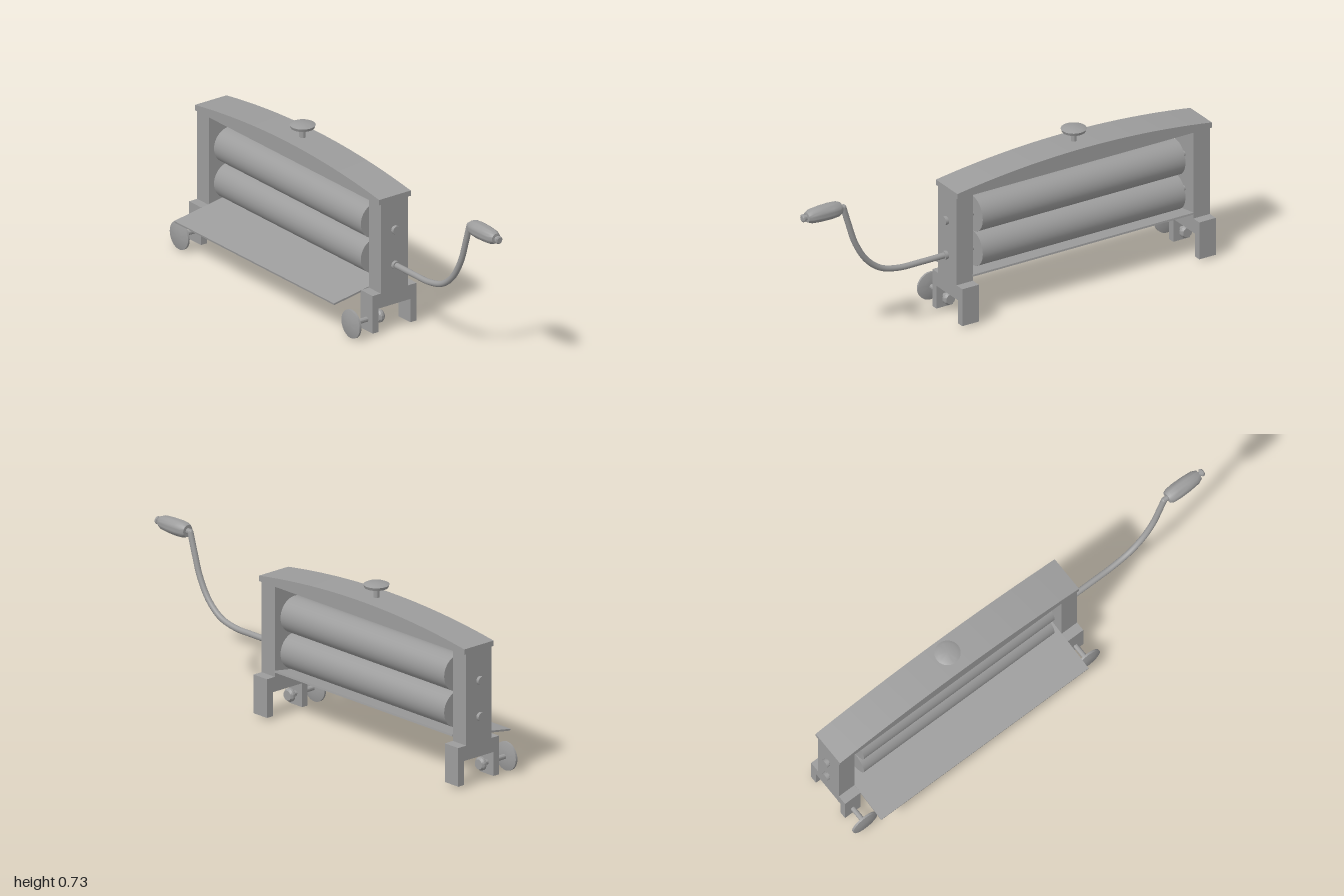
import * as THREE from 'three';
import { toCreasedNormals } from 'three/addons/utils/BufferGeometryUtils.js';

const castMetal = new THREE.MeshStandardMaterial({ color: 0x9c9c9c });
castMetal.name = 'castMetal';

const CX = -0.351; // middle of the frame
const CZ = -0.068; // roller axis depth
const POSTS = [-0.94, 0.237];

export function createModel() {
  const model = new THREE.Group();
  model.name = 'rollerMangle';

  function add(name, geometry, x = 0, y = 0, z = 0, parent = model) {
    const mesh = new THREE.Mesh(geometry, castMetal);
    mesh.name = name;
    mesh.position.set(x, y, z);
    parent.add(mesh);
    return mesh;
  }
  // Turned part: [radius, height] points from bottom to top, axis along y
  const turned = (points, sides = 32) => toCreasedNormals(
    new THREE.LatheGeometry(points.map(([r, h]) => new THREE.Vector2(r, h)), sides), 0.5);
  const rodX = (r, x0, x1) => new THREE.CylinderGeometry(r, r, x1 - x0, 24)
    .rotateZ(-Math.PI / 2).translate((x0 + x1) / 2, 0, 0);

  // Side posts, each with a forked foot that straddles a tub rim
  const foot = new THREE.Shape([
    [0.046, 0.012], [0.046, 0.183], [-0.185, 0.183], [-0.185, 0.012],
    [-0.152, 0.012], [-0.152, 0.118], [0.015, 0.118], [0.015, 0.012],
  ].map(([z, y]) => new THREE.Vector2(-z, y)));
  for (const x of POSTS) {
    const end = new THREE.Group();
    end.name = x < 0 ? 'rightEnd' : 'leftEnd';
    end.position.x = x;
    model.add(end);
    add('post', new THREE.BoxGeometry(0.082, 0.42, 0.143), 0, 0.388, CZ, end);
    add('forkedFoot', new THREE.ExtrudeGeometry(foot, { depth: 0.082, bevelEnabled: false })
      .translate(0, 0, -0.041).rotateY(Math.PI / 2), 0, 0, 0, end);
    // Clamp screw with hand disc and pressing pad
    add('clampScrew', turned([
      [0, -0.033], [0.022, -0.033], [0.029, -0.023], [0.029, -0.013], [0.022, -0.006],
      [0.011, -0.006], [0.011, 0.114], [0.034, 0.114], [0.063, 0.122],
      [0.063, 0.131], [0.034, 0.139], [0, 0.139],
    ]).rotateX(Math.PI / 2), 0, 0.064, 0, end);
  }

  // Arched top beam
  const arch = new THREE.Shape();
  arch.moveTo(-0.632, 0.588);
  arch.lineTo(0.632, 0.588);
  arch.lineTo(0.632, 0.612);
  arch.quadraticCurveTo(0, 0.709, -0.632, 0.612);
  arch.closePath();
  add('topBeam', toCreasedNormals(new THREE.ExtrudeGeometry(arch,
    { depth: 0.166, bevelEnabled: false, curveSegments: 24 }), 0.4), CX, 0, -0.152);

  // Pressure knob
  add('pressureKnob', turned([
    [0.012, 0.64], [0.012, 0.705], [0.05, 0.705], [0.055, 0.718], [0.04, 0.725], [0, 0.726],
  ]), CX, 0, CZ);

  // Rollers and axles with end caps
  for (const [name, y] of [['upper', 0.457], ['lower', 0.297]]) {
    add(name + 'Roller', new THREE.CylinderGeometry(0.08, 0.08, 1.007, 48)
      .rotateZ(Math.PI / 2), CX, y, CZ);
    add(name + 'Axle', rodX(0.012, -0.99, 0.285), 0, y, CZ);
    add(name + 'AxleCapRight', rodX(0.019, -1, -0.986), 0, y, CZ);
    add(name + 'AxleCapLeft', rodX(0.019, 0.281, 0.295), 0, y, CZ);
  }

  // Sloping drip tray
  const tray = add('dripTray', new THREE.BoxGeometry(1.096, 0.008, 0.333), CX, 0.181, 0.022);
  tray.rotation.x = 0.158;

  // Bent crank arm
  const path = new THREE.CatmullRomCurve3([
    [0.28, 0.297], [0.42, 0.297], [0.515, 0.299], [0.607, 0.322],
    [0.68, 0.38], [0.735, 0.47], [0.768, 0.567], [0.794, 0.652],
  ].map(([x, y]) => new THREE.Vector3(x, y, CZ)));
  add('crankArm', new THREE.TubeGeometry(path, 40, 0.013, 16));
  add('crankArmTip', new THREE.SphereGeometry(0.013, 16, 10), 0.794, 0.652, CZ);

  // Handle grip turned around its spindle
  add('crankGrip', turned([
    [0, 0], [0.012, 0], [0.012, 0.02], [0.026, 0.02], [0.033, 0.035], [0.036, 0.07],
    [0.035, 0.12], [0.031, 0.165], [0.022, 0.186], [0.011, 0.188],
    [0.011, 0.194], [0.017, 0.198], [0.017, 0.206], [0.012, 0.21], [0, 0.21],
  ]).rotateZ(-Math.PI / 2), 0.79, 0.653, CZ);

  return model;
}
